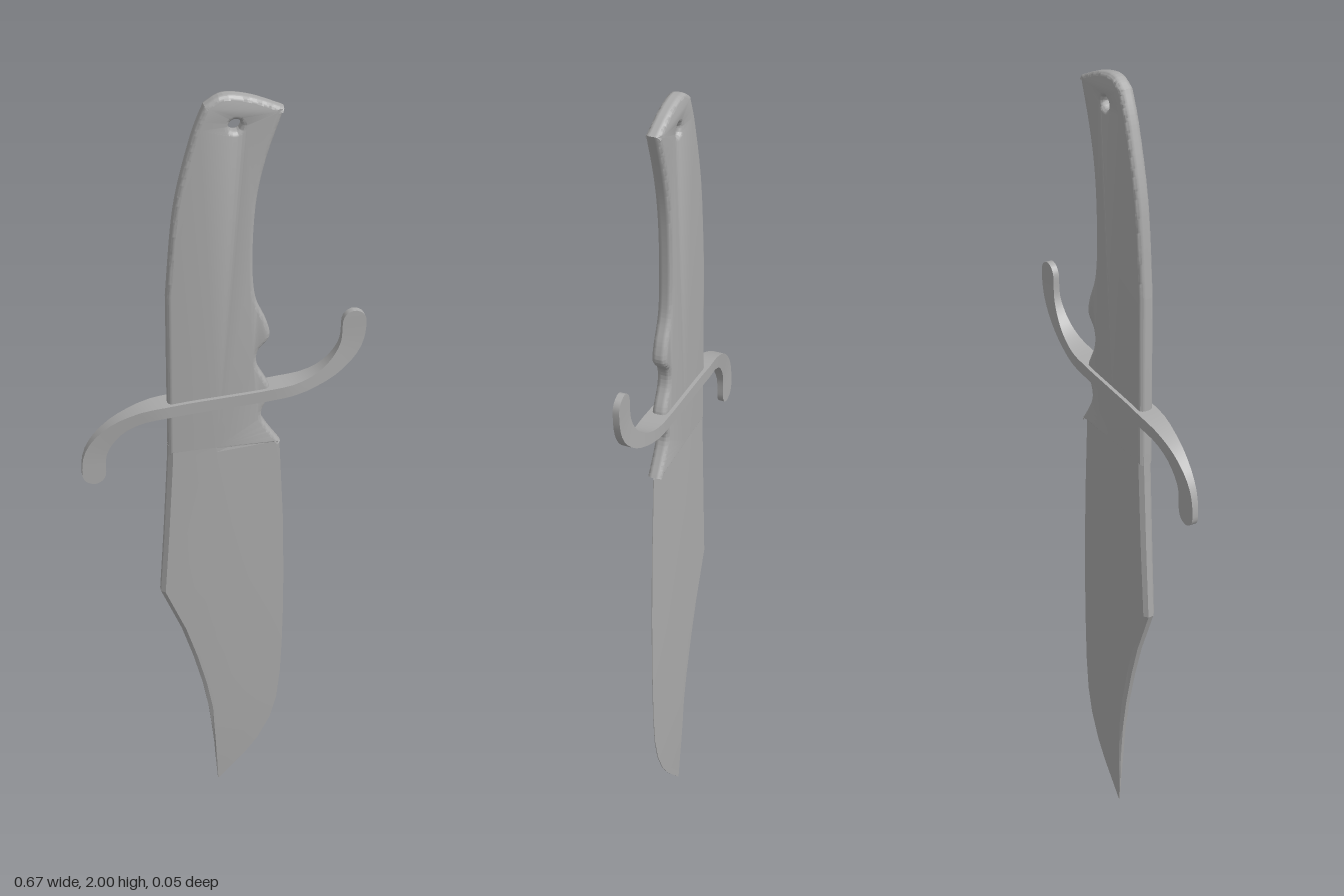
import * as THREE from 'three';
import { toCreasedNormals } from 'three/addons/utils/BufferGeometryUtils.js';

// Skin a closed solid over a list of equal-length rings of [x, y, z] points
function loft(rings, crease) {
  const n = rings[0].length, pos = rings.flat(2), idx = [];
  for (let r = 0; r < rings.length - 1; r++) {
    for (let i = 0; i < n; i++) {
      const a = r * n + i, b = r * n + (i + 1) % n;
      idx.push(a, b, b + n, a, b + n, a + n);
    }
  }
  const end = (rings.length - 1) * n;
  for (let i = 1; i < n - 1; i++) {
    idx.push(0, i + 1, i, end, end + i, end + i + 1);
  }
  const g = new THREE.BufferGeometry();
  g.setAttribute('position', new THREE.Float32BufferAttribute(pos, 3));
  g.setIndex(idx);
  return toCreasedNormals(g, crease);
}

// Handle: rounded slab with finger groove and lanyard hole
function handleGeometry() {
  const v = pts => pts.map(p => new THREE.Vector2(...p));
  const shape = new THREE.Shape();
  shape.moveTo(-0.015, 1.105);
  shape.lineTo(0.137, 1.105);
  shape.splineThru(v([[0.092, 1.18], [0.1, 1.225], [0.108, 1.265], [0.08, 1.325],
    [0.08, 1.365], [0.106, 1.4], [0.1, 1.44], [0.073, 1.51], [0.066, 1.61],
    [0.072, 1.74], [0.092, 1.845], [0.13, 1.96]]));
  shape.splineThru(v([[0.06, 1.99], [0, 2], [-0.04, 1.98]]));
  shape.splineThru(v([[-0.07, 1.9], [-0.108, 1.74], [-0.128, 1.53]]));
  shape.lineTo(-0.13, 1.105);
  shape.closePath();
  const hole = new THREE.Path();
  hole.absarc(0.025, 1.93, 0.014, 0, Math.PI * 2, true);
  shape.holes.push(hole);
  const g = new THREE.ExtrudeGeometry(shape, {
    depth: 0.01, curveSegments: 36, bevelEnabled: true, bevelThickness: 0.012,
    bevelSize: 0.01, bevelOffset: -0.01, bevelSegments: 3,
  });
  g.translate(0, 0, -0.005);
  return toCreasedNormals(g, 0.6);
}

// Blade rows from tip upward: height, spine x, cutting edge x, half thickness
function bladeGeometry() {
  const rows = [
    [0, -0.012, -0.008, 0.001], [0.08, -0.018, 0.06, 0.004],
    [0.13, -0.021, 0.095, 0.006], [0.2, -0.028, 0.127, 0.008],
    [0.27, -0.036, 0.144, 0.0095], [0.36, -0.052, 0.152, 0.011],
    [0.46, -0.076, 0.155, 0.0125], [0.56, -0.105, 0.156, 0.014],
    [0.69, -0.155, 0.155, 0.015], [0.87, -0.143, 0.15, 0.016],
    [1.1, -0.13, 0.137, 0.0165], [1.13, -0.13, 0.09, 0.0165],
  ];
  return loft(rows.map(([y, spine, edge, t]) => {
    const ridge = spine + Math.min((edge - spine) * 0.5, Math.max(0.006, -0.017 - spine));
    const chamfer = spine + Math.min(0.01, (ridge - spine) * 0.5);
    return [
      [spine, y, -t * 0.45], [spine, y, t * 0.45], [chamfer, y, t], [ridge, y, t],
      [edge, y, 0.0008], [edge, y, -0.0008], [ridge, y, -t], [chamfer, y, -t],
    ];
  }), 0.12);
}

// Guard: S-shaped bar, thinner in depth and wider in profile at its tips
function guardGeometry() {
  const half = [[0.105, 0.006], [0.19, 0.018], [0.255, 0.052], [0.298, 0.11], [0.306, 0.198]];
  const cy = 1.243;
  const pts = [...half.map(([x, y]) => [-x, -y]).reverse(), [0, 0], ...half];
  const curve = new THREE.CatmullRomCurve3(pts.map(([x, y]) => new THREE.Vector3(x, cy + y, 0)));
  const steps = 48, rings = [];
  for (let i = 0; i <= steps; i++) {
    // Cosine spacing packs rings near the rounded ends
    const u = (1 - Math.cos(Math.PI * i / steps)) / 2;
    const p = curve.getPointAt(u), t = curve.getTangentAt(u);
    const s = Math.abs(u - 0.5) * 2;
    const round = Math.sqrt(Math.max(0.02, 1 - Math.max(0, (s - 0.93) / 0.07) ** 2));
    const w = (0.015 + 0.013 * THREE.MathUtils.smoothstep(s, 0.45, 0.92)) * round;
    const d = THREE.MathUtils.lerp(0.026, 0.007, THREE.MathUtils.clamp((Math.abs(p.x) - 0.15) / 0.16, 0, 1));
    rings.push([[1, -1], [1, 1], [-1, 1], [-1, -1]].map(([a, b]) =>
      [p.x - t.y * w * a, p.y + t.x * w * a, d * b]));
  }
  return loft(rings, 0.6);
}

export function createModel() {
  const steel = new THREE.MeshStandardMaterial({ color: 0xaaaaaa });
  steel.name = 'steel';
  const model = new THREE.Group();
  model.name = 'knife';
  const parts = { handle: handleGeometry(), blade: bladeGeometry(), guard: guardGeometry() };
  for (const [name, geometry] of Object.entries(parts)) {
    const mesh = new THREE.Mesh(geometry, steel);
    mesh.name = name;
    model.add(mesh);
  }
  return model;
}
